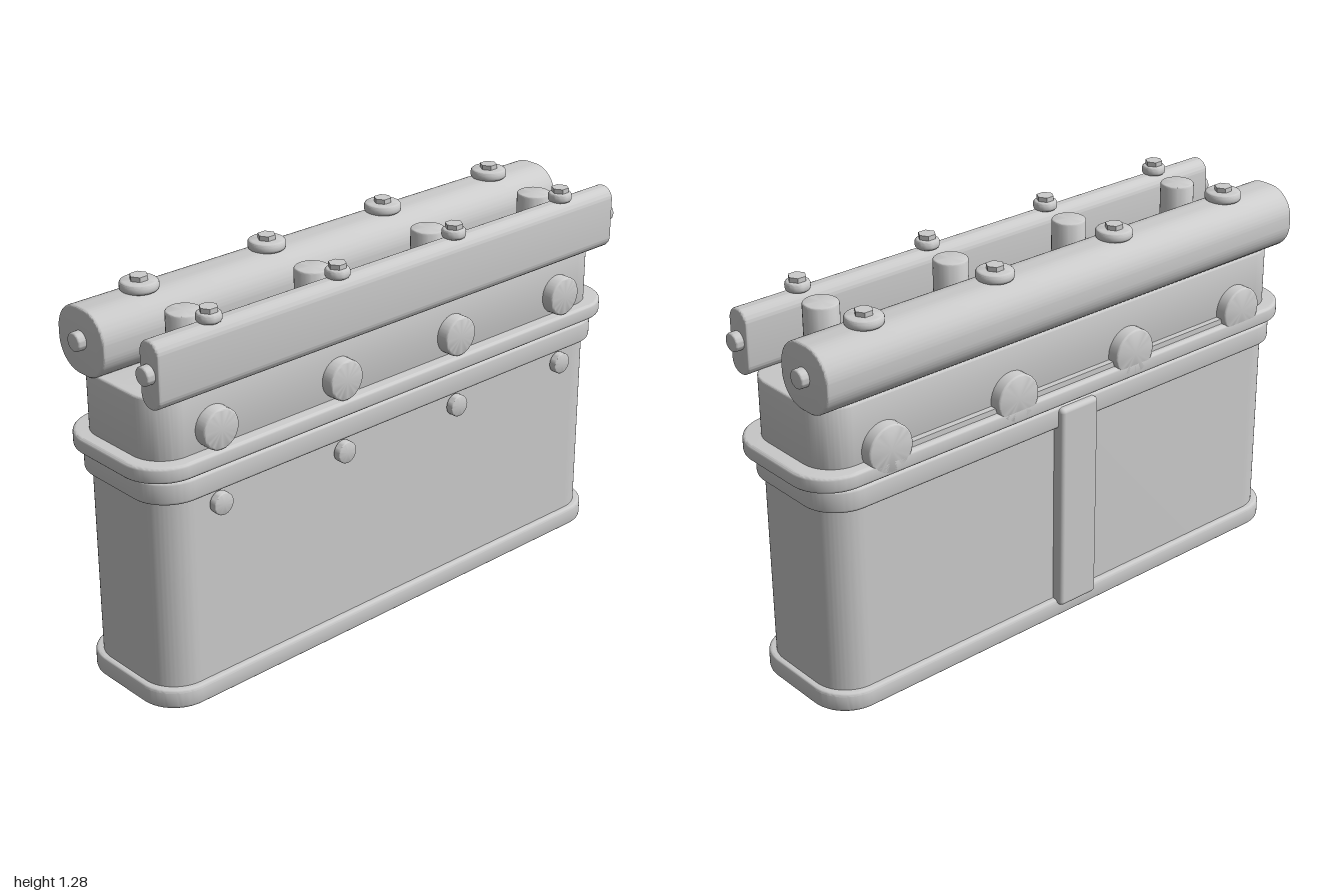
import * as THREE from 'three';
import { toCreasedNormals } from 'three/addons/utils/BufferGeometryUtils.js';
import { RoundedBoxGeometry } from 'three/addons/geometries/RoundedBoxGeometry.js';

const material = new THREE.MeshStandardMaterial({ color: 0xcccccc });
const CX = -0.004; // shared centre line in x
const stations = [-0.739, -0.246, 0.246, 0.739].map((x) => x + CX);

function roundedRect(w, h, r) {
  const s = new THREE.Shape(), a = w / 2, b = h / 2, q = Math.PI / 2;
  s.moveTo(-a + r, -b);
  s.lineTo(a - r, -b);
  s.absarc(a - r, -b + r, r, -q, 0);
  s.lineTo(a, b - r);
  s.absarc(a - r, b - r, r, 0, q);
  s.lineTo(-a + r, b);
  s.absarc(-a + r, b - r, r, q, 2 * q);
  s.lineTo(-a, -b + r);
  s.absarc(-a + r, -b + r, r, 2 * q, 3 * q);
  return s;
}

// Rounded rectangle extruded to an exact length, with softened rims
function prism(w, h, r, length, bevel) {
  const g = new THREE.ExtrudeGeometry(roundedRect(w - 2 * bevel, h - 2 * bevel, r - bevel), {
    depth: length - 2 * bevel, bevelEnabled: bevel > 0, bevelSize: bevel,
    bevelThickness: bevel, bevelSegments: 3, curveSegments: 14,
  });
  g.translate(0, 0, bevel - length / 2);
  return toCreasedNormals(g, 0.6);
}

// Disc along y, standing on y = 0, with a rounded top rim (and bottom rim if asked)
function disc(r, h, bevel, bothRims = false) {
  const pts = [new THREE.Vector2(0, 0)];
  if (bothRims) {
    for (let i = 0; i <= 4; i++) {
      const t = (i / 4) * Math.PI / 2;
      pts.push(new THREE.Vector2(r - bevel + bevel * Math.sin(t), bevel - bevel * Math.cos(t)));
    }
  } else pts.push(new THREE.Vector2(r, 0));
  for (let i = 0; i <= 4; i++) {
    const t = (i / 4) * Math.PI / 2;
    pts.push(new THREE.Vector2(r - bevel + bevel * Math.cos(t), h - bevel + bevel * Math.sin(t)));
  }
  pts.push(new THREE.Vector2(0, h));
  return toCreasedNormals(new THREE.LatheGeometry(pts, 32), 0.6);
}

export function createModel() {
  const model = new THREE.Group();
  model.name = 'tankWithRails';

  function add(name, geometry, x, y, z) {
    const mesh = new THREE.Mesh(geometry, material);
    mesh.name = name;
    mesh.position.set(x, y, z);
    model.add(mesh);
    return mesh;
  }

  // Stacked casing: name, width, depth, corner radius, bottom, top, bevel
  const layers = [
    ['baseFlange', 1.93, 0.455, 0.13, 0, 0.065, 0.01],
    ['body', 1.89, 0.415, 0.12, 0.05, 0.72, 0],
    ['collar', 1.93, 0.455, 0.13, 0.7, 0.775, 0.01],
    ['seam', 1.9, 0.43, 0.12, 0.765, 0.795, 0],
    ['mainFlange', 2, 0.48, 0.14, 0.783, 0.835, 0.01],
    ['head', 1.9, 0.397, 0.11, 0.82, 1.033, 0.006],
  ];
  for (const [name, w, d, r, y0, y1, bevel] of layers) {
    const x = name === 'mainFlange' ? 0 : CX;
    add(name, prism(w, d, r, y1 - y0, bevel), x, (y0 + y1) / 2, 0.004).rotation.x = -Math.PI / 2;
  }

  // Rails: slim at the front, stout at the back, with end studs and capped ports
  const rails = [
    { side: 'front', z: 0.2, w: 0.086, r: 0.0425, cap: 0.039, hex: 0.029 },
    { side: 'back', z: -0.124, w: 0.223, r: 0.095, cap: 0.06, hex: 0.029 },
  ];
  for (const { side, z, w, r, cap, hex } of rails) {
    add(side + 'Rail', prism(w, 0.214, r, 1.916, 0.007), CX, 1.128, z).rotation.y = Math.PI / 2;
    for (const s of [-1, 1]) {
      add(side + 'EndStud', disc(0.03, 0.05, 0.006), CX + s * 0.935, 1.133, z).rotation.z = -s * Math.PI / 2;
    }
    for (const x of stations) {
      add(side + 'PortCap', disc(cap, 0.032, 0.011, true), x, 1.231, z);
      const nut = new THREE.CylinderGeometry(hex, hex, 0.03, 6).toNonIndexed();
      nut.computeVertexNormals();
      add(side + 'CapNut', nut, x, 1.263, z).rotation.y = Math.PI / 6;
    }
  }

  // Fittings repeated at every station
  for (const x of stations) {
    add('topPost', disc(0.056, 0.212, 0.007), x, 1.02, 0.086);
    add('frontBoss', disc(0.066, 0.06, 0.008), x, 0.904, 0.185).rotation.x = Math.PI / 2;
    add('frontButton', disc(0.036, 0.025, 0.004), x, 0.66, 0.221).rotation.x = Math.PI / 2;
    add('backBoss', disc(0.08, 0.055, 0.008), x, 0.866, -0.181).rotation.x = -Math.PI / 2;
  }

  // Ledge joining the back bosses, and the upright strip on the back
  add('backLedge', new THREE.BoxGeometry(1.478, 0.03, 0.03), CX, 0.838, -0.2);
  add('backStrip', new RoundedBoxGeometry(0.155, 0.725, 0.06, 4, 0.015), -0.007, 0.408, -0.214);

  return model;
}
